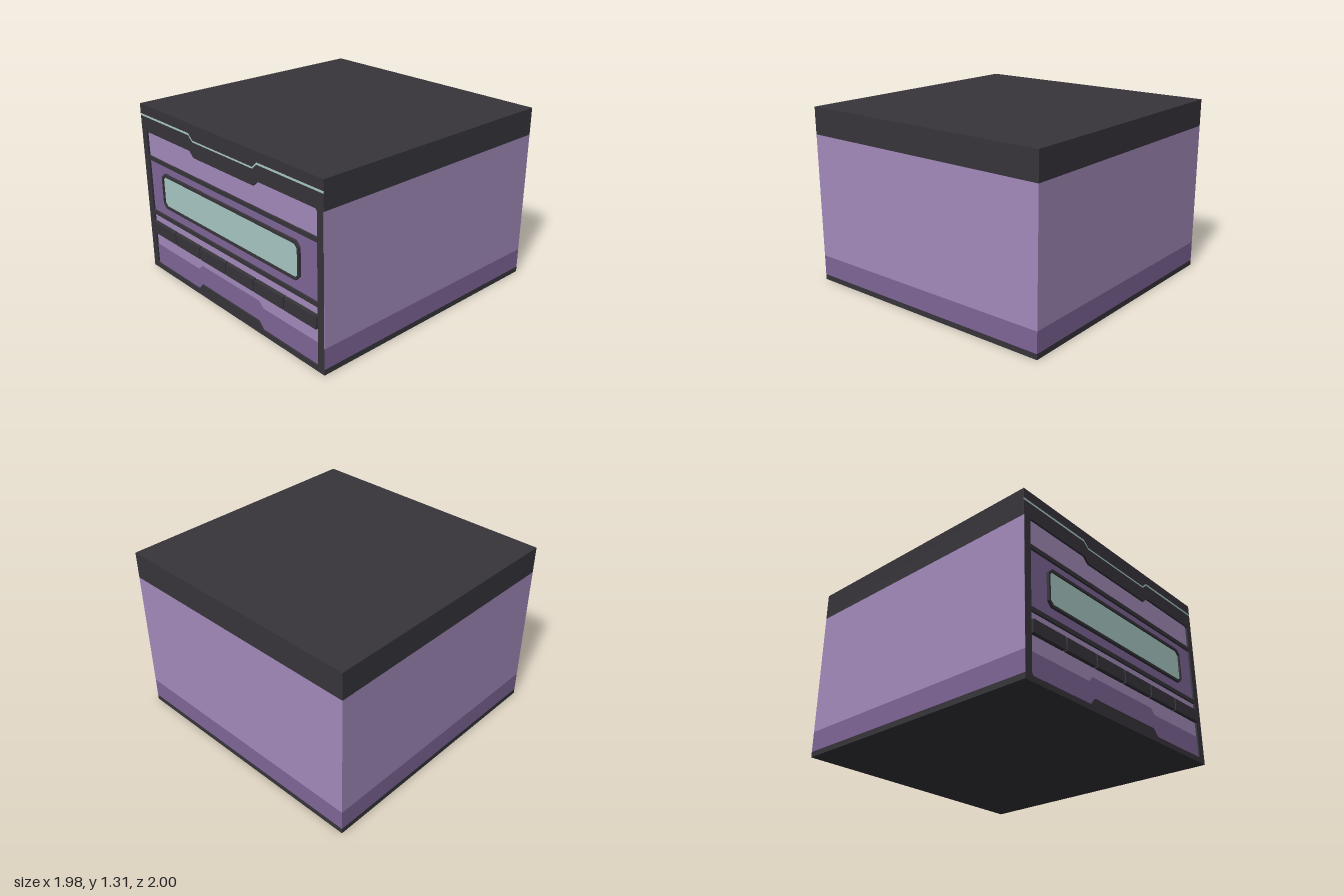
import * as THREE from 'three';

const mat = (name, color) => {
  const m = new THREE.MeshStandardMaterial({ color });
  m.name = name;
  return m;
};

const W = 0.99;        // half width
const BACK = -1;
const PANEL = 0.968;   // front of the banded body
const FACE = 0.985;    // front of the frame

// Closed outline from a list of points
const outline = (pts, Type = THREE.Shape) => new Type(pts.map(([x, y]) => new THREE.Vector2(x, y)));

// Rectangle with cut corners
const cutRect = (w, y0, y1, c) => [
  [-w + c, y0], [w - c, y0], [w, y0 + c], [w, y1 - c],
  [w - c, y1], [-w + c, y1], [-w, y1 - c], [-w, y0 + c],
];

// Edge running left to right at y, stepping to yMid in the middle
const stepEdge = (w, y, yMid) => [
  [-w, y], [-0.375, y], [-0.33, yMid], [0.33, yMid], [0.375, y], [w, y],
];

export function createModel() {
  const model = new THREE.Group();
  const dark = mat('charcoal', 0x37353b);
  const lilac = mat('lilac', 0xa38bbb);
  const purple = mat('deep purple', 0x7f6698);
  const mint = mat('pale mint', 0xa8c8c5);

  const add = (name, geometry, material) => {
    const mesh = new THREE.Mesh(geometry, material);
    mesh.name = name;
    model.add(mesh);
    return mesh;
  };
  const box = (name, x0, x1, y0, y1, z0, z1, material) =>
    add(name, new THREE.BoxGeometry(x1 - x0, y1 - y0, z1 - z0), material)
      .position.set((x0 + x1) / 2, (y0 + y1) / 2, (z0 + z1) / 2);
  const slab = (name, shape, z0, z1, material) =>
    add(name, new THREE.ExtrudeGeometry(shape, { depth: z1 - z0, bevelEnabled: false }), material)
      .position.z = z0;

  // Body in stacked colour bands, with side strips that cover the frame's edges
  const bands = [
    ['base', 0, 0.04, dark], ['lowerBody', 0.04, 0.19, purple],
    ['upperBody', 0.19, 1.11, lilac], ['lid', 1.11, 1.31, dark],
  ];
  for (const [name, y0, y1, m] of bands) {
    box(name, -W, W, y0, y1, BACK, PANEL, m);
    for (const s of [-1, 1]) {
      const x = s * (W - 0.001);
      box(name + 'SideStrip', x - 0.001, x + 0.001, y0, y1, PANEL, FACE, m);
    }
  }

  // Front frame with three windows; the outer two have stepped edges
  const frame = outline([[-W + 0.002, 0], [W - 0.002, 0], [W - 0.002, 1.31], [-W + 0.002, 1.31]]);
  const w = 0.93, c = 0.012;
  frame.holes.push(
    outline([[-w, 0.925], [w, 0.925], [w, 1.11 - c],
      ...stepEdge(w - c, 1.11, 1.07).reverse(), [-w, 1.11 - c]], THREE.Path),
    outline([[-w, 0.49], [w, 0.49], [w, 0.895], [-w, 0.895]], THREE.Path),
    outline([[-w, 0.04 + c], ...stepEdge(w - c, 0.04, 0.09), [w, 0.04 + c],
      [w, 0.46], [-w, 0.46]], THREE.Path),
  );
  slab('frontFrame', frame, PANEL, FACE, dark);

  // Recessed front panels
  const p = 0.95, z = PANEL + 0.003;
  box('topPanel', -p, p, 0.91, 1.12, PANEL, z, lilac);
  box('screenPanel', -p, p, 0.475, 0.91, PANEL, z, purple);
  box('buttonPanel', -p, p, 0.19, 0.475, PANEL, z, lilac);
  slab('lowerPanel', outline([[-p, 0.03], [p, 0.03], ...stepEdge(p, 0.2, 0.24).reverse()]),
    PANEL, z + 0.003, purple);

  // Screen and its surround
  const surround = outline(cutRect(0.765, 0.565, 0.835, 0.035));
  surround.holes.push(outline(cutRect(0.75, 0.583, 0.815, 0.025), THREE.Path));
  slab('screenSurround', surround, PANEL, 0.99, dark);
  slab('screen', outline(cutRect(0.752, 0.58, 0.818, 0.025)), PANEL, 0.98, mint);

  // Row of six buttons
  const pitch = 0.31;
  for (let i = 0; i < 6; i++) {
    const x = -w + i * pitch;
    box('button', x + (i ? 0.006 : 0), x + pitch - (i < 5 ? 0.006 : 0), 0.31, 0.4, PANEL, 1, dark);
  }

  // Stepped accent line on the lid
  slab('accentLine', outline([
    ...stepEdge(W, 1.222, 1.183), ...stepEdge(W, 1.237, 1.195).reverse(),
  ]), FACE - 0.002, FACE + 0.001, mint);

  return model;
}
